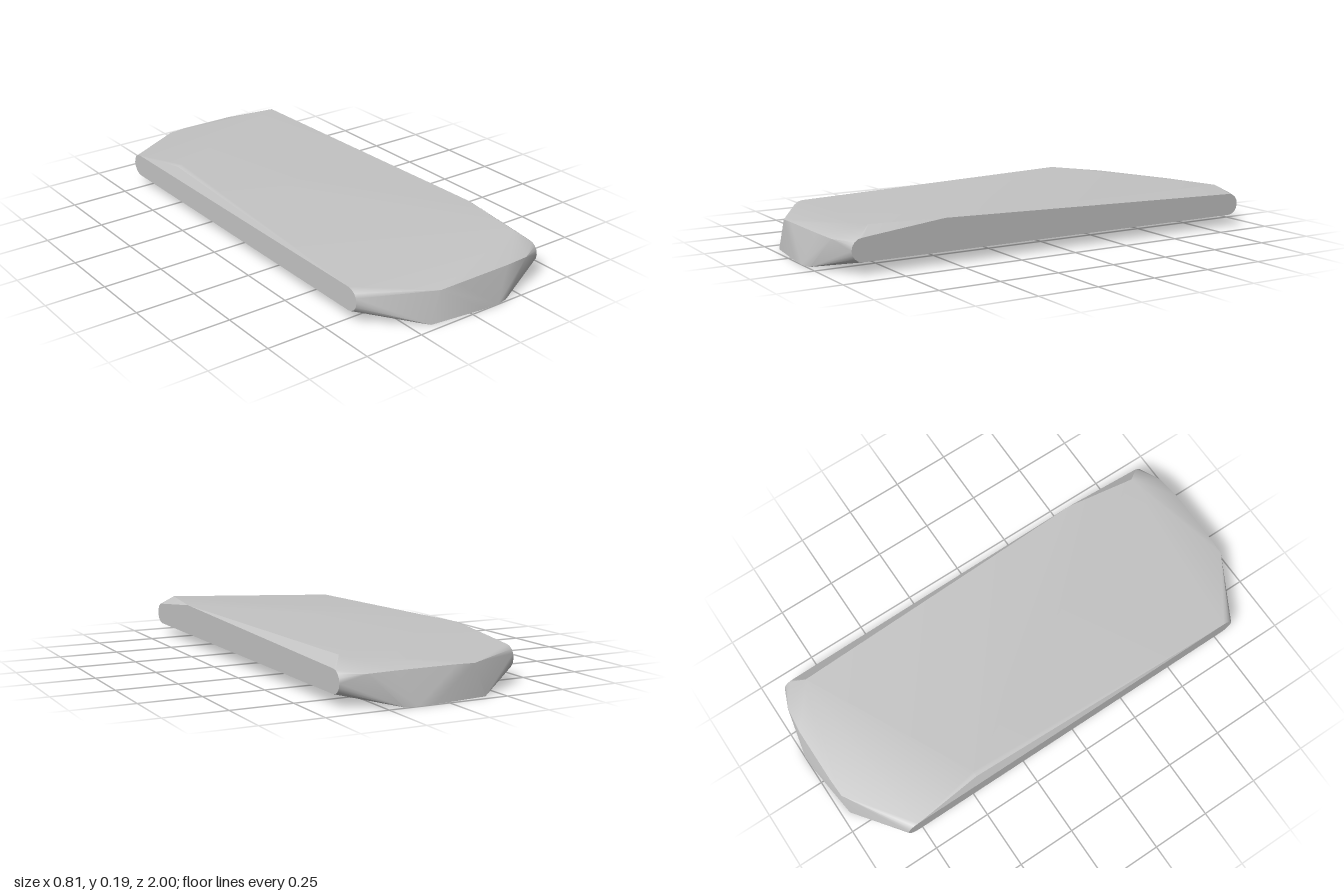
import * as THREE from 'three';
import { ConvexGeometry } from 'three/addons/geometries/ConvexGeometry.js';

// Smooth normals weighted by face area, with edges sharper than the angle kept hard
function creaseByArea(geometry, angle) {
  const pos = geometry.attributes.position;
  const corners = [], faces = [], around = new Map();
  for (let i = 0; i < pos.count; i++) corners.push(new THREE.Vector3().fromBufferAttribute(pos, i));
  const key = (v) => v.toArray().map((n) => n.toFixed(4)).join();
  for (let i = 0; i < pos.count; i += 3) {
    const [a, b, c] = corners.slice(i, i + 3);
    const area = b.clone().sub(a).cross(c.clone().sub(a));
    const face = { area, unit: area.clone().normalize() };
    faces.push(face);
    for (const v of [a, b, c]) {
      if (!around.has(key(v))) around.set(key(v), []);
      around.get(key(v)).push(face);
    }
  }
  const limit = Math.cos(angle);
  const normals = corners.flatMap((v, i) => {
    const own = faces[Math.floor(i / 3)].unit;
    const sum = new THREE.Vector3();
    for (const f of around.get(key(v))) if (f.unit.dot(own) > limit) sum.add(f.area);
    return sum.normalize().toArray();
  });
  geometry.setAttribute('normal', new THREE.Float32BufferAttribute(normals, 3));
  return geometry;
}

export function createModel() {
  const group = new THREE.Group();
  const grey = new THREE.MeshStandardMaterial({ color: 0xc3c3c3 });
  grey.name = 'light stone grey';

  const points = [];
  const add = (x, y, z) => points.push(new THREE.Vector3(x, y, z));

  for (const s of [1, -1]) {
    // rounded ends of the two flat long sides
    for (const [x, end, top] of [[0.405, 0.92, 0.14], [-0.405, 0.815, 0.145]]) {
      const r = (top - 0.048) / 2;
      for (let i = 0; i <= 8; i++) {
        const a = -Math.PI / 2 + (Math.PI * i) / 8;
        add(x, 0.048 + r + r * Math.sin(a), s * (end - r + r * Math.cos(a)));
      }
    }
    // outline of the flat underside
    add(-0.175, 0, s * 0.967);
    add(0.06, 0, s * 0.996);
    add(0.13, 0, s);
    add(0.18, 0, s * 0.989);
    // upper edge of the end faces
    add(-0.13, 0.128, s * 0.962);
    add(-0.05, 0.131, s * 0.966);
    add(0.2, 0.131, s * 0.966);
    add(0.31, 0.127, s * 0.955);
    // right corners of the top
    add(0.36, 0.178, s * 0.83);
  }

  // uneven high points of the top
  add(0.405, 0.178, 0.53);
  add(-0.382, 0.186, -0.47);
  add(-0.372, 0.19, -0.47);
  add(-0.36, 0.191, -0.47);

  const slab = new THREE.Mesh(creaseByArea(new ConvexGeometry(points), 0.5), grey);
  slab.name = 'slab';
  group.add(slab);
  return group;
}
